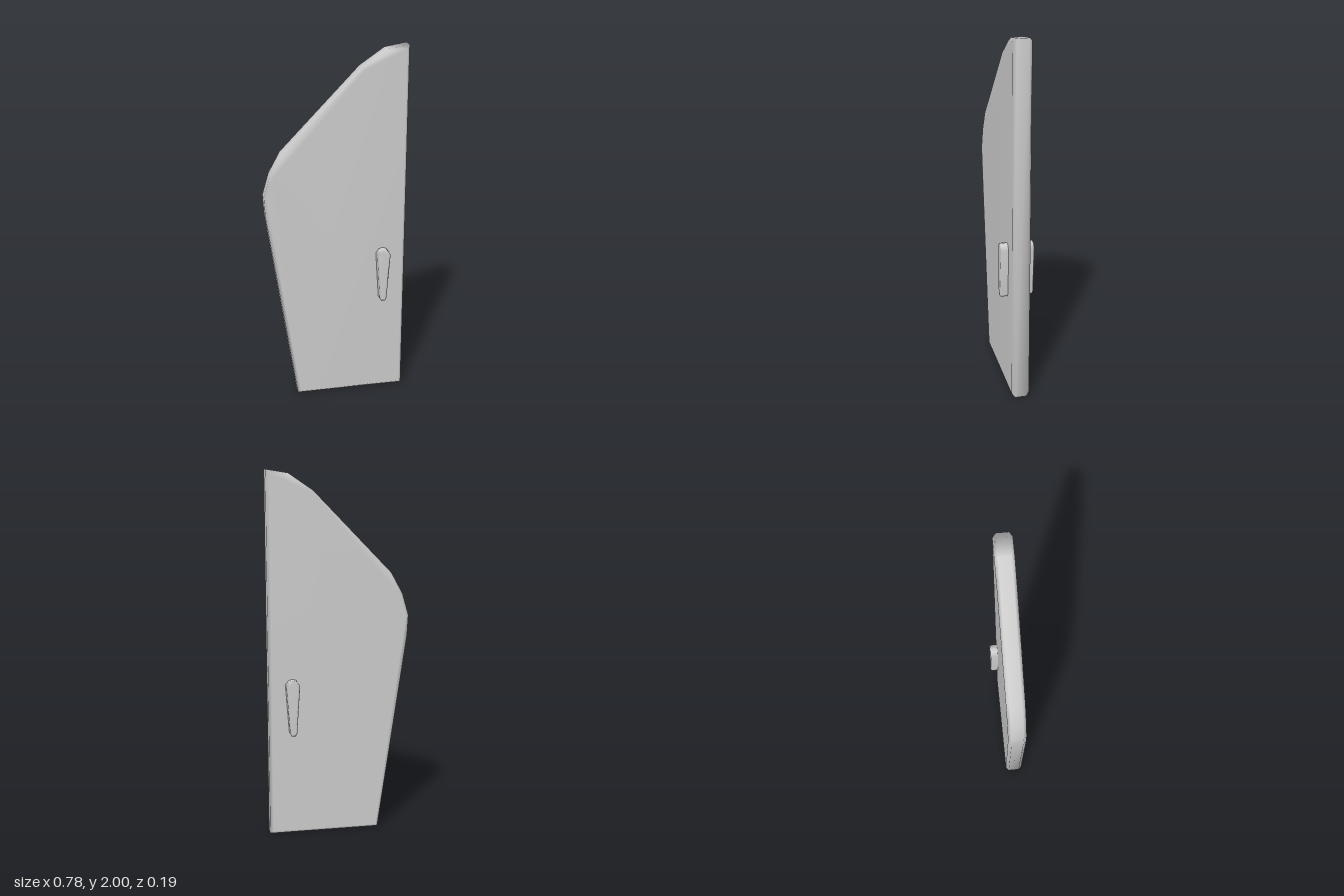
import * as THREE from 'three';
import { mergeVertices } from 'three/addons/utils/BufferGeometryUtils.js';

const material = new THREE.MeshStandardMaterial({ color: 0xcccccc });

// Extrude an outline between two depths, with chamfered rims and smooth normals
function slab(name, outline, zBack, zFront, bevelSize, bevelThickness) {
  const shape = new THREE.Shape(outline.map(([x, y]) => new THREE.Vector2(x, y)));
  let geometry = new THREE.ExtrudeGeometry(shape, {
    depth: zFront - zBack - 2 * bevelThickness,
    bevelEnabled: true, bevelSegments: 1,
    bevelSize, bevelThickness, bevelOffset: -bevelSize,
  });
  geometry.translate(0, 0, zBack + bevelThickness);
  geometry.deleteAttribute('uv');
  geometry.deleteAttribute('normal');
  geometry = mergeVertices(geometry, 1e-4);
  geometry.computeVertexNormals();
  const mesh = new THREE.Mesh(geometry, material);
  mesh.name = name;
  return mesh;
}

export function createModel() {
  const group = new THREE.Group();
  group.name = 'door';

  // Door leaf: straight edge on one side, slanted and rounded on the other
  group.add(slab('doorPanel', [
    [-0.223, 0], [0.389, 0], [0.389, 2], [0.27, 1.98], [0.138, 1.89],
    [-0.292, 1.445], [-0.355, 1.33], [-0.39, 1.21], [-0.384, 1.1],
  ], -0.05, 0.048, 0.017, 0.017));

  // Tapered handle passing through the leaf, so it shows on both faces
  group.add(slab('handle', [
    [0.241, 0.585], [0.249, 0.57], [0.271, 0.57], [0.279, 0.585],
    [0.298, 0.85], [0.28, 0.874], [0.26, 0.88], [0.24, 0.874], [0.223, 0.85],
  ], -0.094, 0.091, 0.008, 0.005));

  return group;
}
